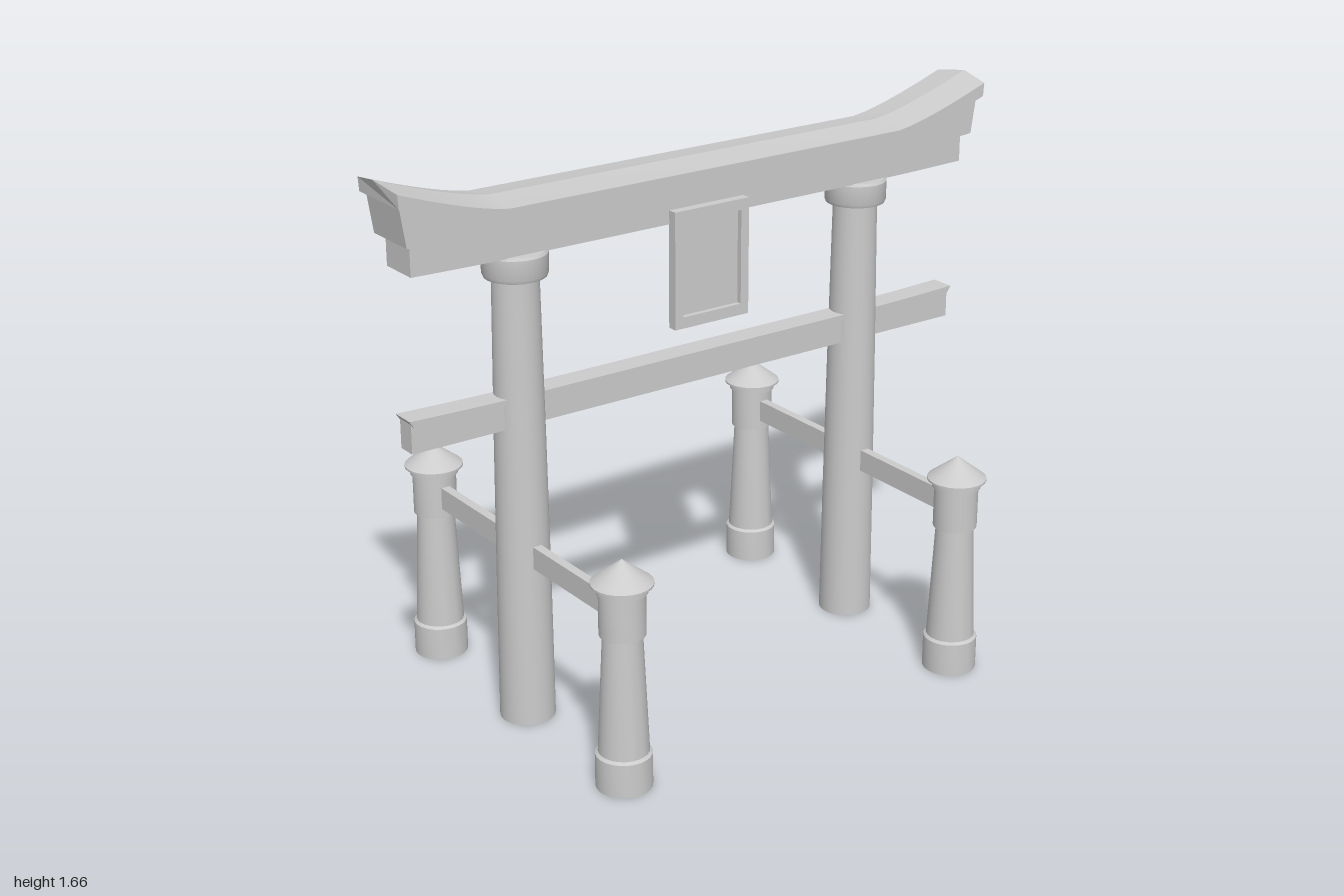
import * as THREE from 'three';
import { toCreasedNormals } from 'three/addons/utils/BufferGeometryUtils.js';

const material = new THREE.MeshStandardMaterial({ color: 0xcccccc, side: THREE.DoubleSide });

function add(parent, name, geometry, x = 0, y = 0, z = 0) {
  const mesh = new THREE.Mesh(geometry, material);
  mesh.name = name;
  mesh.position.set(x, y, z);
  parent.add(mesh);
  return mesh;
}

// Turned part from [radius, height] pairs, with crisp rims
function turned(profile) {
  const points = profile.map(([r, y]) => new THREE.Vector2(r, y));
  return toCreasedNormals(new THREE.LatheGeometry(points, 24), 0.5);
}

// Beam along x. Each corner is { z, end, y(rise) }: its depth, its half length
// and its height as a function of t, which runs 0..1 from bendStart to the tip.
function beam(corners, bendStart) {
  const half = [];
  for (let i = 0; i <= 8; i++) half.push(i / 8);
  const stations = [...half.slice().reverse().map(t => [-1, t]), ...half.map(t => [1, t])];
  const rows = stations.map(([side, t]) => corners.map(c =>
    new THREE.Vector3(side * (bendStart + (c.end - bendStart) * t), c.y(t), c.z)));
  const out = [];
  const tri = (...vs) => vs.forEach(v => out.push(v.x, v.y, v.z));
  const n = corners.length;
  for (let i = 0; i < rows.length - 1; i++) {
    for (let k = 0; k < n; k++) {
      const m = (k + 1) % n;
      tri(rows[i][k], rows[i][m], rows[i + 1][m]);
      tri(rows[i][k], rows[i + 1][m], rows[i + 1][k]);
    }
  }
  const first = rows[0], last = rows[rows.length - 1];
  for (let k = 1; k < n - 1; k++) {
    tri(last[0], last[k], last[k + 1]);
    tri(first[0], first[k + 1], first[k]);
  }
  const geometry = new THREE.BufferGeometry();
  geometry.setAttribute('position', new THREE.Float32BufferAttribute(out, 3));
  return toCreasedNormals(geometry, 0.2);
}

// Four-cornered beam section
function boxSection(z, lowEnd, highEnd, low, high) {
  return [
    { z, end: lowEnd, y: low }, { z: -z, end: lowEnd, y: low },
    { z: -z, end: highEnd, y: high }, { z, end: highEnd, y: high },
  ];
}

function rectangle(Type, x, y0, y1) {
  const p = new Type();
  p.moveTo(-x, y0);
  p.lineTo(x, y0);
  p.lineTo(x, y1);
  p.lineTo(-x, y1);
  p.closePath();
  return p;
}

export function createModel() {
  const gate = new THREE.Group();
  gate.name = 'gate';
  const bend = 0.66;
  const rise = (base, lift, power = 1.3) => t => base + lift * Math.pow(t, power);

  // Pillars, each braced by a short post in front and behind
  const pillar = turned([[0, 0], [0.08, 0], [0.077, 0.4], [0.072, 0.85], [0.065, 1.34], [0, 1.34]]);
  const collar = turned([[0, 1.325], [0.087, 1.325], [0.091, 1.335], [0.091, 1.39], [0.086, 1.398], [0, 1.398]]);
  const post = turned([
    [0, 0], [0.079, 0], [0.079, 0.1], [0.071, 0.107], [0.055, 0.455],
    [0.064, 0.457], [0.064, 0.58], [0.071, 0.582], [0.071, 0.605], [0, 0.605],
  ]);
  const cap = turned([[0, 0.603], [0.086, 0.603], [0.086, 0.609], [0, 0.675]]);
  for (const side of [-1, 1]) {
    const support = new THREE.Group();
    support.name = side > 0 ? 'leftSupport' : 'rightSupport';
    support.position.x = side * 0.588;
    add(support, 'pillar', pillar);
    add(support, 'pillarCollar', collar);
    add(support, 'braceRail', new THREE.BoxGeometry(0.027, 0.067, 0.9), 0, 0.52, 0);
    for (const z of [-0.49, 0.49]) {
      add(support, 'bracePost', post, 0, 0, z);
      add(support, 'postCap', cap, 0, 0, z);
    }
    gate.add(support);
  }

  // Tie beam with a thin cover board
  add(gate, 'tieBeam', new THREE.BoxGeometry(1.88, 0.085, 0.058), 0, 0.9425, 0);
  add(gate, 'tieBeamCover', beam(boxSection(0.037, 0.935, 0.948, rise(0.975, 0.002), rise(0.99, 0.007)), bend));

  // Stacked lintels, the upper one sweeping up under the roof
  add(gate, 'lowerLintel', beam(boxSection(0.062, 0.938, 0.938, rise(1.396, 0.005), rise(1.47, 0.018)), bend));
  add(gate, 'upperLintel', beam(boxSection(0.085, 0.958, 0.975, rise(1.468, 0.02), rise(1.518, 0.08)), bend));

  // Shallow gabled roof with upturned tips
  const under = rise(1.513, 0.087), eave = rise(1.546, 0.094), ridge = rise(1.56, 0.097);
  add(gate, 'roof', beam([
    { z: 0.103, end: 0.985, y: under }, { z: -0.103, end: 0.985, y: under },
    { z: -0.103, end: 0.988, y: eave }, { z: 0, end: 1, y: ridge },
    { z: 0.103, end: 0.988, y: eave },
  ], bend));

  // Framed tablet hung on the front
  const frame = rectangle(THREE.Shape, 0.127, 1.094, 1.436);
  frame.holes.push(rectangle(THREE.Path, 0.1, 1.127, 1.404));
  add(gate, 'tabletFrame', new THREE.ExtrudeGeometry(frame, { depth: 0.03, bevelEnabled: false }), 0, 0, 0.06);
  add(gate, 'tabletPanel', new THREE.BoxGeometry(0.21, 0.285, 0.014), 0, 1.2655, 0.0672);

  return gate;
}
